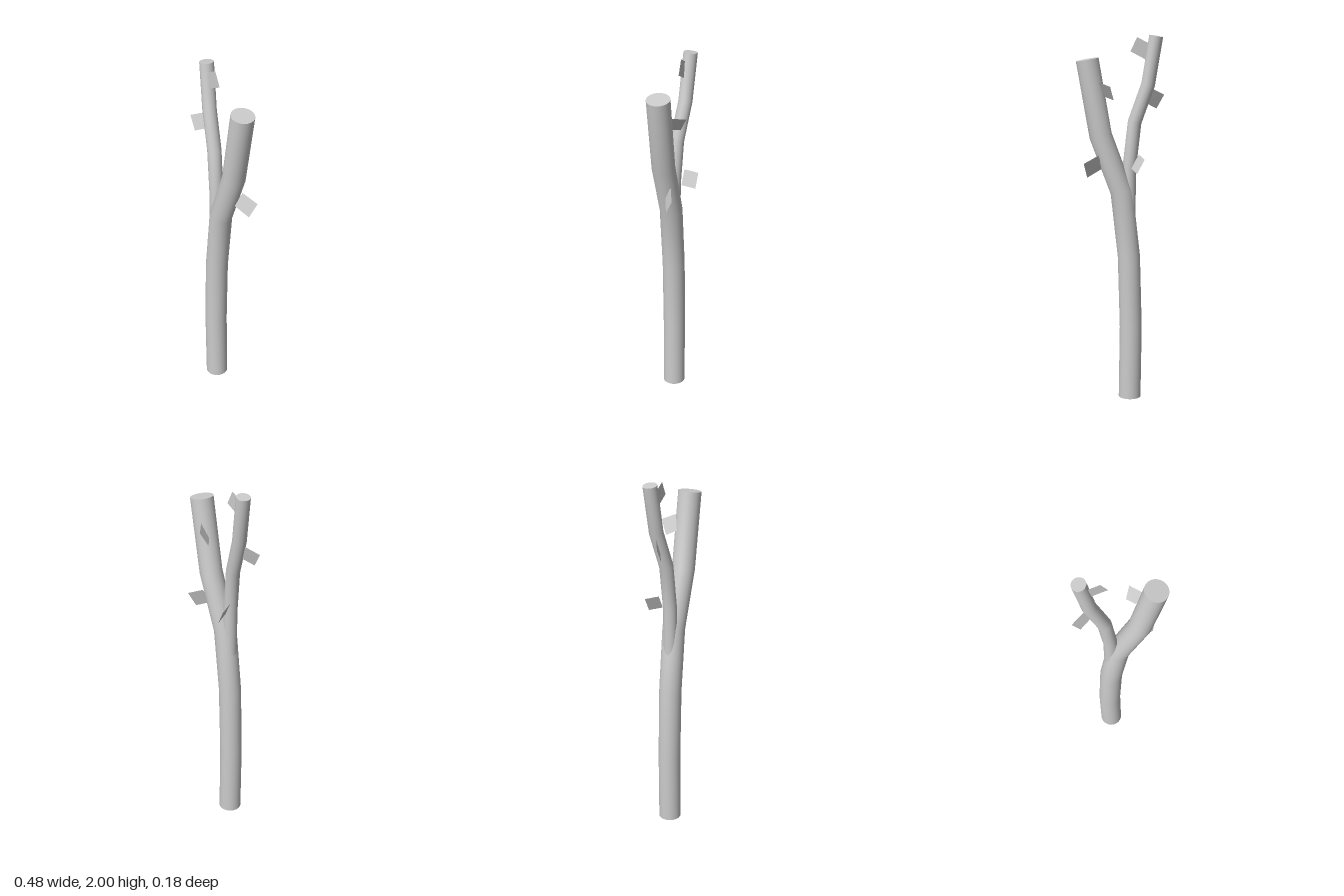
import * as THREE from 'three';

const material = new THREE.MeshStandardMaterial({ color: 0xcccccc, side: THREE.DoubleSide });
const SIDES = 32;

// Straight-segmented tube with mitred bends and flat end caps.
function limb(name, radius, points) {
  const path = points.map(p => new THREE.Vector3(...p));
  const pos = [], index = [];
  const rings = path.map((p, i) => {
    const before = path[Math.max(i - 1, 0)], after = path[Math.min(i + 1, path.length - 1)];
    const t = new THREE.Vector3();
    if (i > 0) t.add(p.clone().sub(before).normalize());
    if (i < path.length - 1) t.add(after.clone().sub(p).normalize());
    t.normalize();
    const u = new THREE.Vector3().crossVectors(t, new THREE.Vector3(0, 0, 1)).normalize();
    const v = new THREE.Vector3().crossVectors(u, t);
    return Array.from({ length: SIDES }, (_, k) => {
      const a = (k / SIDES) * Math.PI * 2;
      return p.clone().addScaledVector(u, Math.cos(a) * radius).addScaledVector(v, -Math.sin(a) * radius);
    });
  });
  const add = p => pos.push(p.x, p.y, p.z);
  rings.forEach(r => r.forEach(add));
  for (let i = 0; i < rings.length - 1; i++) {
    for (let k = 0; k < SIDES; k++) {
      const a = i * SIDES + k, b = i * SIDES + (k + 1) % SIDES;
      index.push(a, a + SIDES, b, b, a + SIDES, b + SIDES);
    }
  }
  // caps use their own vertices so the rims stay sharp
  [0, rings.length - 1].forEach(i => {
    const c = pos.length / 3;
    add(path[i]);
    rings[i].forEach(add);
    for (let k = 0; k < SIDES; k++) {
      const a = c + 1 + k, b = c + 1 + (k + 1) % SIDES;
      if (i === 0) index.push(c, a, b);
      else index.push(c, b, a);
    }
  });
  return mesh(name, pos, index);
}

// Flat four-cornered leaf, corners in order around the edge.
function leaf(name, corners) {
  return mesh(name, corners.flat(), [0, 1, 2, 0, 2, 3]);
}

function mesh(name, pos, index) {
  const g = new THREE.BufferGeometry();
  g.setAttribute('position', new THREE.Float32BufferAttribute(pos, 3));
  g.setIndex(index);
  g.computeVertexNormals();
  const m = new THREE.Mesh(g, material);
  m.name = name;
  return m;
}

export function createModel() {
  const group = new THREE.Group();
  group.name = 'forkedBranch';

  // thick main stem, bending in the xy plane
  const z = 0.026;
  group.add(limb('mainStem', 0.061, [
    [-0.05, 0, z], [-0.056, 0.4, z], [-0.045, 0.8, z],
    [-0.005, 1.16, z], [0.108, 1.463, z], [0.178, 1.868, z],
  ]));

  // thinner side shoot, leaning left and slightly back
  group.add(limb('sideShoot', 0.037, [
    [-0.043, 1.0, 0.026], [-0.047, 1.29, 0.025], [-0.074, 1.535, 0.017],
    [-0.143, 1.735, -0.004], [-0.183, 1.99, -0.017],
  ]));

  // leaves: two outer corners, then two inner corners sunk into the wood
  const leaves = {
    shootTopLeaf: [[-0.085, 1.984, 0], [-0.048, 1.91, 0], [-0.127, 1.868, 0], [-0.164, 1.942, 0]],
    shootMiddleLeaf: [[-0.238, 1.677, 0.05], [-0.197, 1.603, 0.052], [-0.127, 1.64, 0.008], [-0.166, 1.713, 0.006]],
    shootBackLeaf: [[-0.114, 1.345, -0.089], [-0.075, 1.268, -0.086], [-0.053, 1.288, -0.015], [-0.092, 1.365, -0.018]],
    stemUpperLeaf: [[0.068, 1.73, -0.083], [0.045, 1.656, -0.045], [0.0875, 1.672, -0.004], [0.123, 1.75, -0.027]],
    stemLowerLeaf: [[0.206, 1.323, -0.054], [0.185, 1.243, -0.015], [0.1, 1.286, 0.02], [0.124, 1.362, -0.019]],
  };
  for (const [name, corners] of Object.entries(leaves)) group.add(leaf(name, corners));
  return group;
}
